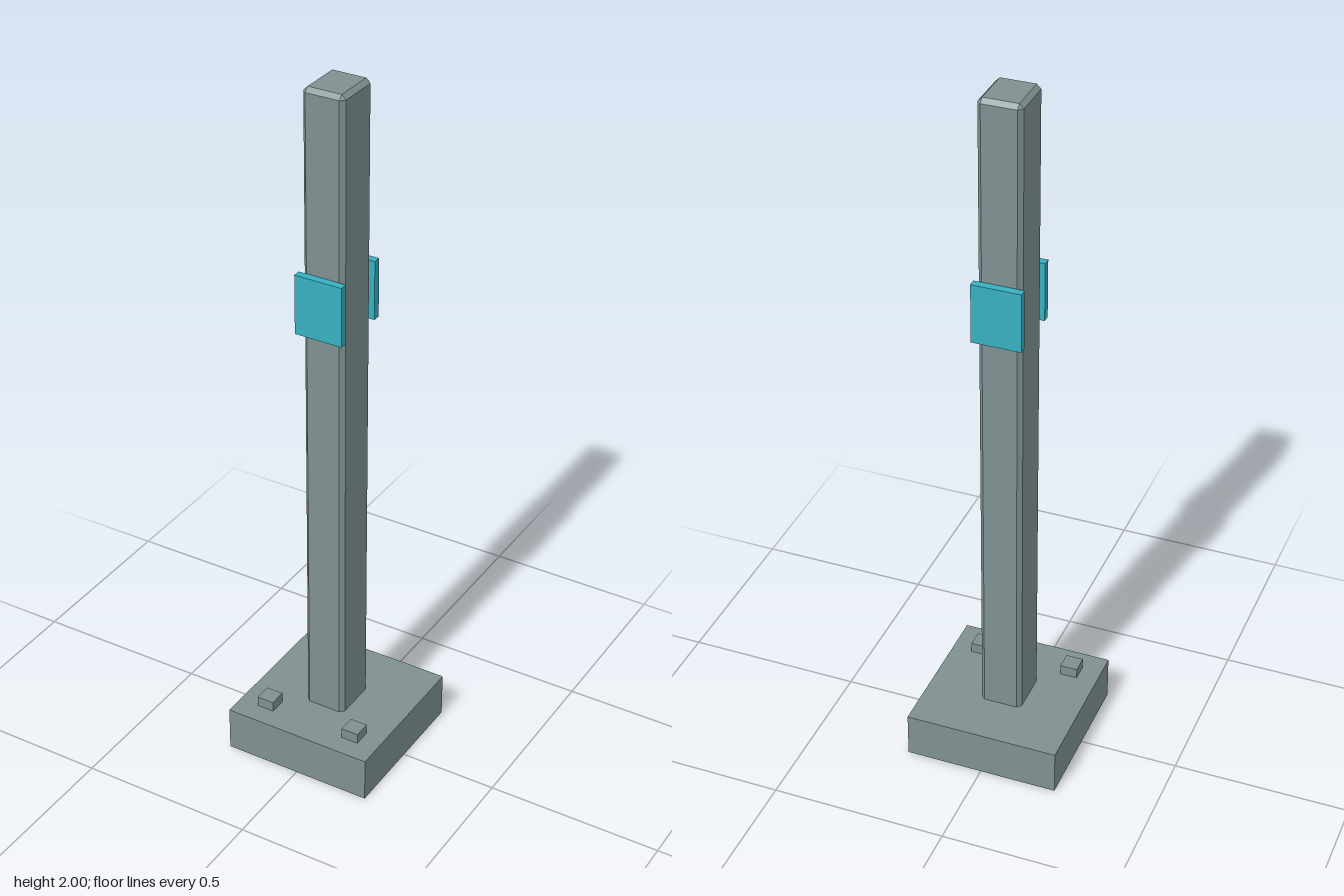
import * as THREE from 'three';
import { ConvexGeometry } from 'three/addons/geometries/ConvexGeometry.js';

const steel = new THREE.MeshStandardMaterial({ color: 0x7f9091, flatShading: true });
const teal = new THREE.MeshStandardMaterial({ color: 0x38b0c0, flatShading: true });

// Box with every edge cut by a flat chamfer c, centred on the origin
function chamferedBox(w, h, d, c) {
  const points = [];
  for (const sx of [-1, 1]) for (const sy of [-1, 1]) for (const sz of [-1, 1]) {
    for (let full = 0; full < 3; full++) {
      const half = [w, h, d].map((s, i) => s / 2 - (i === full ? 0 : c));
      points.push(new THREE.Vector3(sx * half[0], sy * half[1], sz * half[2]));
    }
  }
  return new ConvexGeometry(points);
}

export function createModel() {
  const model = new THREE.Group();
  model.name = 'signPost';

  const add = (name, geometry, material, x, y, z) => {
    const mesh = new THREE.Mesh(geometry, material);
    mesh.name = name;
    mesh.position.set(x, y, z);
    model.add(mesh);
  };

  // Square foot block
  add('base', new THREE.BoxGeometry(0.44, 0.13, 0.44), steel, 0, 0.065, 0);

  // Post, its lower chamfer sunk into the base
  const bottom = 0.115;
  add('post', chamferedBox(0.12, 2 - bottom, 0.14, 0.012), steel, 0, (2 + bottom) / 2, 0);

  // Panels floating just off the front and back of the post
  for (const [name, side] of [['frontPanel', 1], ['backPanel', -1]]) {
    add(name, new THREE.BoxGeometry(0.138, 0.17, 0.022), teal, 0, 1.41, side * 0.083);
  }

  // Bolts on the front corners of the base
  for (const [name, side] of [['leftBolt', 1], ['rightBolt', -1]]) {
    add(name, new THREE.BoxGeometry(0.05, 0.03, 0.05), steel, side * 0.137, 0.145, 0.137);
  }

  return model;
}
